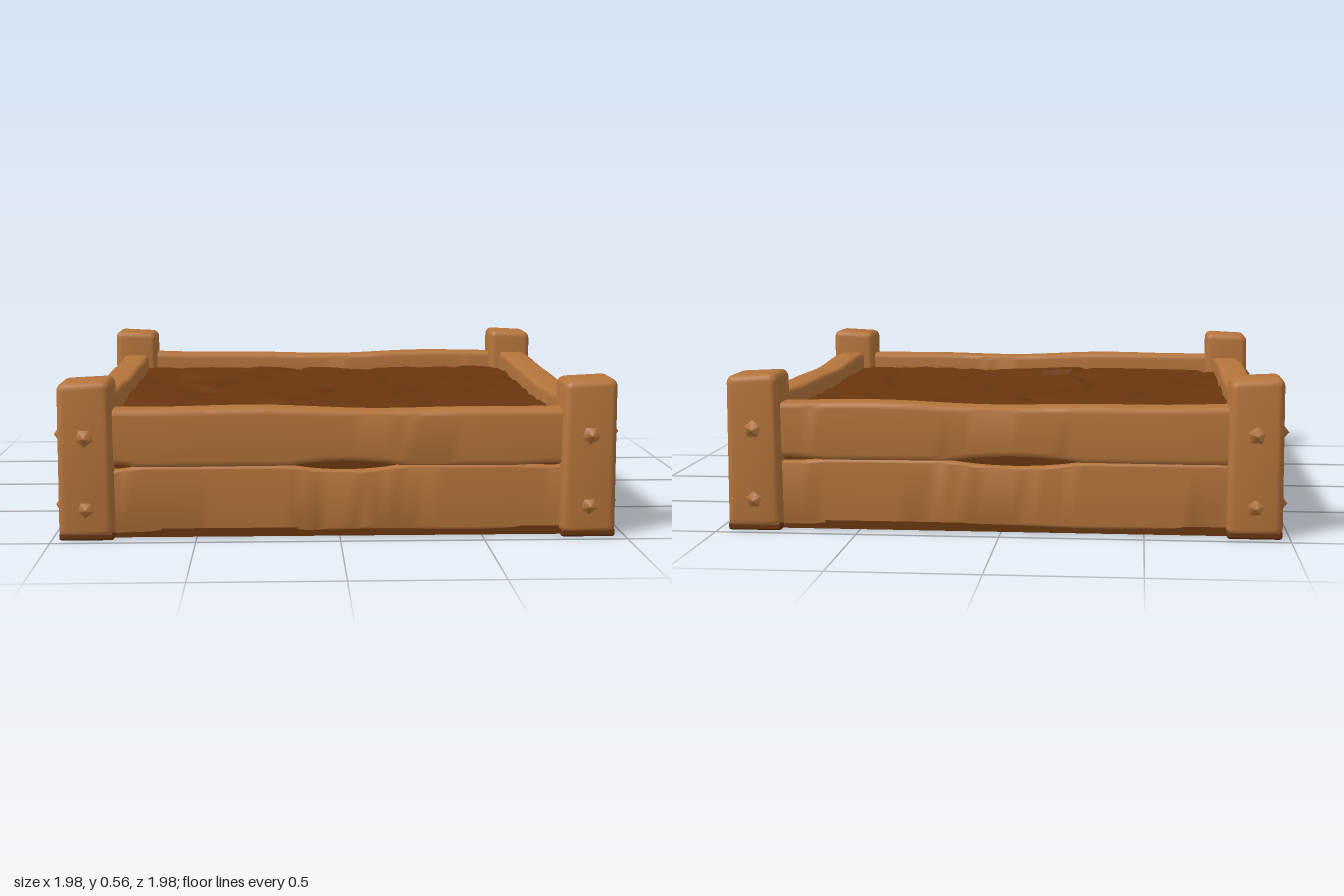
import * as THREE from 'three';
import { toCreasedNormals } from 'three/addons/utils/BufferGeometryUtils.js';
import { RoundedBoxGeometry } from 'three/addons/geometries/RoundedBoxGeometry.js';

const wood = new THREE.MeshStandardMaterial({ name: 'wood', color: 0xb5743b });
const soil = new THREE.MeshStandardMaterial({ name: 'soil', color: 0x69360e });

// Small seeded random generator
let seed = 7;
const rand = () => (seed = (seed * 16807) % 2147483647) / 2147483647;

function part(parent, name, geometry, material, x = 0, y = 0, z = 0) {
  const mesh = new THREE.Mesh(geometry, material);
  mesh.name = name;
  mesh.position.set(x, y, z);
  parent.add(mesh);
  return mesh;
}

// Move every vertex by a rule
function warp(geometry, rule) {
  const p = geometry.attributes.position;
  const v = new THREE.Vector3();
  for (let i = 0; i < p.count; i++) {
    v.fromBufferAttribute(p, i);
    rule(v);
    p.setXYZ(i, v.x, v.y, v.z);
  }
  return geometry;
}

// Long board with a rounded section; lower(x) and upper(x) shift its two long edges
function board(y0, y1, depth, r, lower, upper) {
  const h = y1 - y0, w = depth / 2;
  const s = new THREE.Shape();
  s.moveTo(-w + r, 0);
  s.lineTo(w - r, 0);
  s.quadraticCurveTo(w, 0, w, r);
  s.lineTo(w, h - r);
  s.quadraticCurveTo(w, h, w - r, h);
  s.lineTo(-w + r, h);
  s.quadraticCurveTo(-w, h, -w, h - r);
  s.lineTo(-w, r);
  s.quadraticCurveTo(-w, 0, -w + r, 0);
  const length = 1.66;
  const g = new THREE.ExtrudeGeometry(s, { depth: length, steps: 40, bevelEnabled: false, curveSegments: 4 });
  g.translate(0, 0, -length / 2).rotateY(Math.PI / 2);
  warp(g, v => {
    const t = v.y / h;
    v.y += y0 + (1 - t) * lower(v.x) + t * upper(v.x);
    v.z += 0.004 * Math.sin(v.x * 5 + y0 * 20);
  });
  return toCreasedNormals(g, 0.8);
}

// Two stacked boards; each gap is [centre, half length, half height]
function wall(name, angle, gaps, phase) {
  const group = new THREE.Group();
  group.name = name;
  const open = x => gaps.reduce((sum, [c, l, a]) =>
    sum + a * Math.max(0, 1 - ((x - c) / l) ** 2), -0.002);
  const wave = (x, a) => a * (Math.sin(x * 4 + phase) + 0.5 * Math.sin(x * 9 + phase * 2));
  part(group, 'lowerBoard',
    board(0.018, 0.25, 0.115, 0.012, x => wave(x, 0.006), x => -open(x)), wood, 0, 0, 0.875);
  part(group, 'upperBoard',
    board(0.25, 0.448, 0.115, 0.022, open, x => wave(x, -0.006)), wood, 0, 0, 0.875);
  group.rotation.y = angle;
  return group;
}

// Corner post with a dark foot and pointed pegs on its two outer faces
function post(name, sx, sz) {
  const group = new THREE.Group();
  group.name = name;
  const g = warp(new RoundedBoxGeometry(0.19, 0.545, 0.19, 3, 0.028), v => {
    const t = v.y / 0.545 + 0.5;
    v.x *= 1.02 - 0.05 * t;
    v.z *= 1.02 - 0.05 * t;
    v.y += 0.05 * v.x * sz * t;
  });
  part(group, 'postBody', toCreasedNormals(g, 0.9), wood, 0, 0.28, 0);
  part(group, 'postFoot', new RoundedBoxGeometry(0.19, 0.03, 0.19, 2, 0.01), soil, 0, 0.015, 0);
  for (const y of [0.11, 0.36]) {
    const pegs = [
      part(group, 'sidePeg', new THREE.ConeGeometry(0.036, 0.026, 5), wood, sx * 0.104, y, 0),
      part(group, 'facePeg', new THREE.ConeGeometry(0.036, 0.026, 5), wood, 0, y, sz * 0.104),
    ];
    pegs[0].rotation.z = -sx * Math.PI / 2;
    pegs[1].rotation.x = sz * Math.PI / 2;
  }
  group.position.set(sx * 0.873 - 0.005, 0, sz * 0.873);
  return group;
}

// Cracked earth: gently tilted clods meeting in shallow creases
function earth() {
  const clods = [];
  for (let i = 0; i < 70; i++) {
    clods.push({ x: rand() * 1.8 - 0.9, z: rand() * 1.8 - 0.9, a: rand() * 0.1 - 0.05, b: rand() * 0.1 - 0.05 });
  }
  const g = new THREE.PlaneGeometry(1.7, 1.7, 90, 90).rotateX(-Math.PI / 2);
  warp(g, v => {
    let d1 = 9, d2 = 9, near = clods[0];
    const px = v.x + 0.03 * Math.sin(v.z * 17), pz = v.z + 0.03 * Math.sin(v.x * 15);
    for (const c of clods) {
      const d = Math.hypot((px - c.x) * 0.8, pz - c.z);
      if (d < d1) { d2 = d1; d1 = d; near = c; } else if (d < d2) d2 = d;
    }
    const crease = Math.min(1, (d2 - d1) / 0.06);
    v.y = 0.375 + 0.008 * crease + near.a * (px - near.x) + near.b * (pz - near.z)
      + 0.005 * Math.sin(v.x * 6 + 1) * Math.cos(v.z * 5);
  });
  g.computeVertexNormals();
  return g;
}

export function createModel() {
  const model = new THREE.Group();
  model.name = 'raisedGardenBed';

  // Earth filling, seen on top and through the gaps between boards
  part(model, 'soilSurface', earth(), soil);
  part(model, 'soilCore', new THREE.BoxGeometry(1.8, 0.34, 1.8), soil, 0, 0.18, 0);
  part(model, 'basePlate', new THREE.BoxGeometry(1.862, 0.03, 1.862), soil, 0, 0.018, 0);

  // Plank walls
  model.add(
    wall('frontWall', 0, [[0.02, 0.2, 0.018], [-0.8, 0.1, 0.012], [0.75, 0.12, 0.006]], 0.4),
    wall('leftWall', Math.PI / 2, [[-0.08, 0.34, 0.019], [0.65, 0.2, 0.009]], 2.2),
    wall('backWall', Math.PI, [[0.05, 0.24, 0.019], [-0.75, 0.12, 0.009]], 1.1),
    wall('rightWall', -Math.PI / 2, [[0.05, 0.28, 0.018], [0.72, 0.15, 0.008]], 3.6),
  );

  // Corner posts
  for (const [sx, side] of [[1, 'Left'], [-1, 'Right']]) {
    model.add(post('front' + side + 'Post', sx, 1), post('back' + side + 'Post', sx, -1));
  }
  return model;
}
